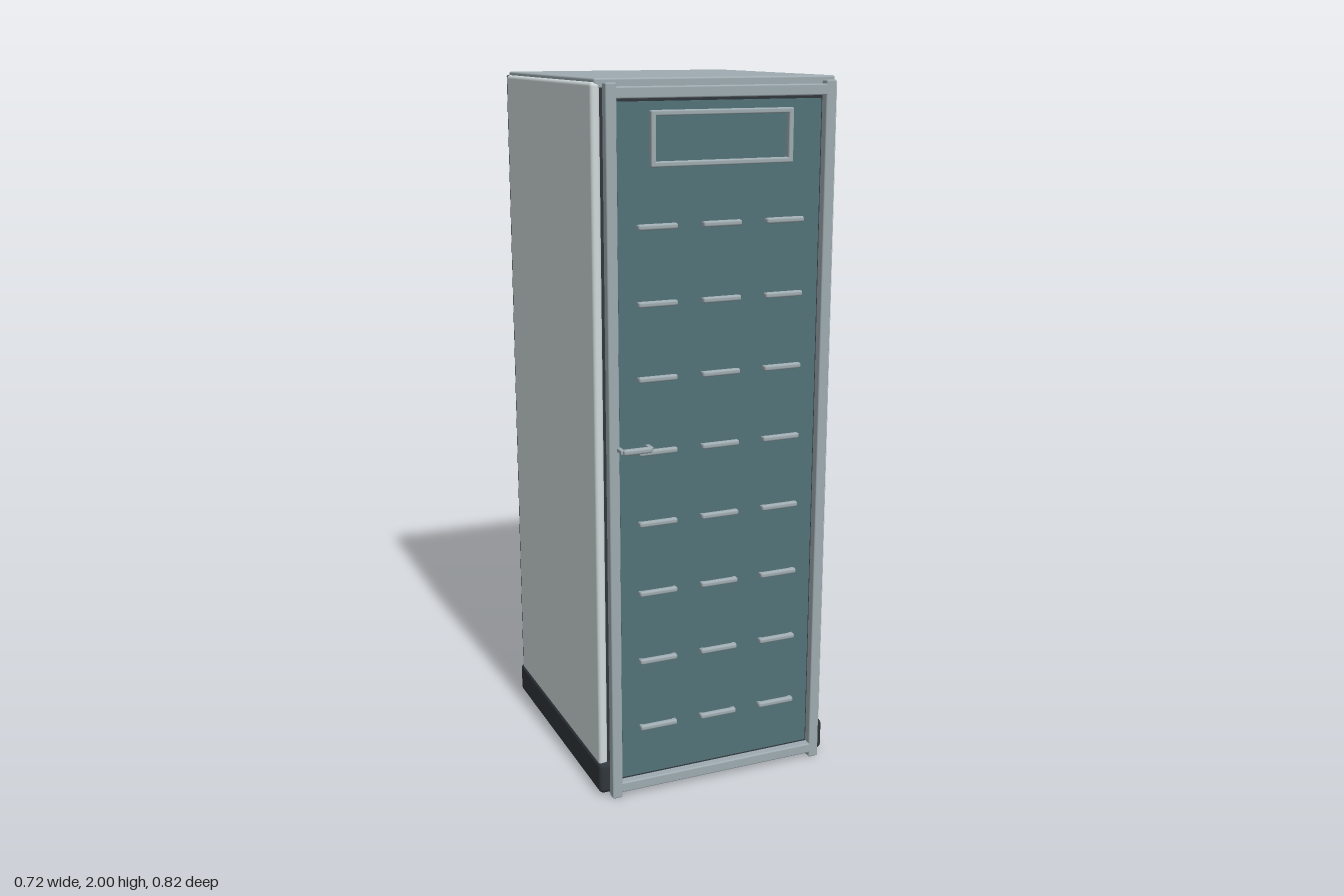
import * as THREE from 'three';
import { RoundedBoxGeometry } from 'three/addons/geometries/RoundedBoxGeometry.js';

const mat = (name, color) => {
  const m = new THREE.MeshStandardMaterial({ color });
  m.name = name;
  return m;
};

export function createModel() {
  const root = new THREE.Group();
  root.name = 'equipmentCabinet';
  const panelGrey = mat('light panel grey', 0xd0d9da);
  const metal = mat('metal grey', 0x9eabb0);
  const charcoal = mat('charcoal', 0x30363b);
  const teal = mat('dark teal', 0x527277);

  // Rounded block given by its lower and upper limits on each axis
  const block = (name, material, [x0, x1], [y0, y1], [z0, z1], r = 0.003, parent = root) => {
    const w = x1 - x0, h = y1 - y0, d = z1 - z0;
    const geometry = r > 0 ? new RoundedBoxGeometry(w, h, d, 3, r) : new THREE.BoxGeometry(w, h, d);
    const mesh = new THREE.Mesh(geometry, material);
    mesh.name = name;
    mesh.position.set((x0 + x1) / 2, (y0 + y1) / 2, (z0 + z1) / 2);
    parent.add(mesh);
  };

  const group = (name) => {
    const g = new THREE.Group();
    g.name = name;
    root.add(g);
    return g;
  };

  // Plinth, inner body and outer panels
  block('plinth', charcoal, [-0.359, 0.359], [0.005, 0.1], [-0.412, 0.341], 0.015);
  block('innerBody', charcoal, [-0.34, 0.34], [0.08, 1.985], [-0.395, 0.324], 0);
  block('backPanel', charcoal, [-0.352, 0.352], [0.08, 1.99], [-0.408, -0.392], 0.005);
  for (const s of [-1, 1]) {
    block(s > 0 ? 'leftSidePanel' : 'rightSidePanel', panelGrey,
      s > 0 ? [0.33, 0.356] : [-0.356, -0.33], [0.09, 1.99], [-0.396, 0.33], 0.01);
  }
  block('roof', metal, [-0.346, 0.346], [1.975, 2], [-0.398, 0.328], 0.005);

  // Door frame standing just ahead of the body, with its inset panel
  const door = group('door');
  const dz = [0.34, 0.368];
  for (const x of [-0.315, 0.315]) block('doorPost', metal, [x - 0.015, x + 0.015], [0, 1.99], dz, 0.004, door);
  block('doorTopRail', metal, [-0.305, 0.305], [1.95, 1.98], dz, 0.004, door);
  block('doorBottomRail', metal, [-0.305, 0.305], [0.015, 0.045], dz, 0.004, door);
  block('doorPanel', teal, [-0.294, 0.294], [0.053, 1.942], [0.342, 0.35], 0, door);

  // Display bezel passing through the door panel
  const bezel = group('displayBezel');
  const bz = [0.327, 0.366];
  for (const y of [1.783, 1.913]) block('bezelRail', metal, [-0.205, 0.205], [y - 0.007, y + 0.007], bz, 0.004, bezel);
  for (const x of [-0.198, 0.198]) block('bezelPost', metal, [x - 0.007, x + 0.007], [1.78, 1.916], bz, 0.004, bezel);

  // Eight rows of three drawer pulls, each a bar on two stand-offs
  const pulls = group('drawerPulls');
  for (let row = 0; row < 8; row++) {
    const y = 0.202 + row * 0.203;
    for (const x of [-0.186, 0, 0.186]) {
      block('pullBar', metal, [x - 0.056, x + 0.056], [y - 0.008, y + 0.008], [0.352, 0.368], 0.006, pulls);
      for (const px of [x - 0.05, x + 0.05]) {
        block('pullStandoff', metal, [px - 0.006, px + 0.006], [y - 0.006, y + 0.006], [0.323, 0.36], 0.002, pulls);
      }
    }
  }

  // Door handle on two short stand-offs
  const handle = group('doorHandle');
  for (const x of [-0.304, -0.222]) block('handleStandoff', metal, [x - 0.006, x + 0.006], [1.029, 1.041], [0.369, 0.402], 0.002, handle);
  block('handleBar', metal, [-0.304, -0.222], [1.027, 1.043], [0.394, 0.411], 0.006, handle);

  return root;
}
